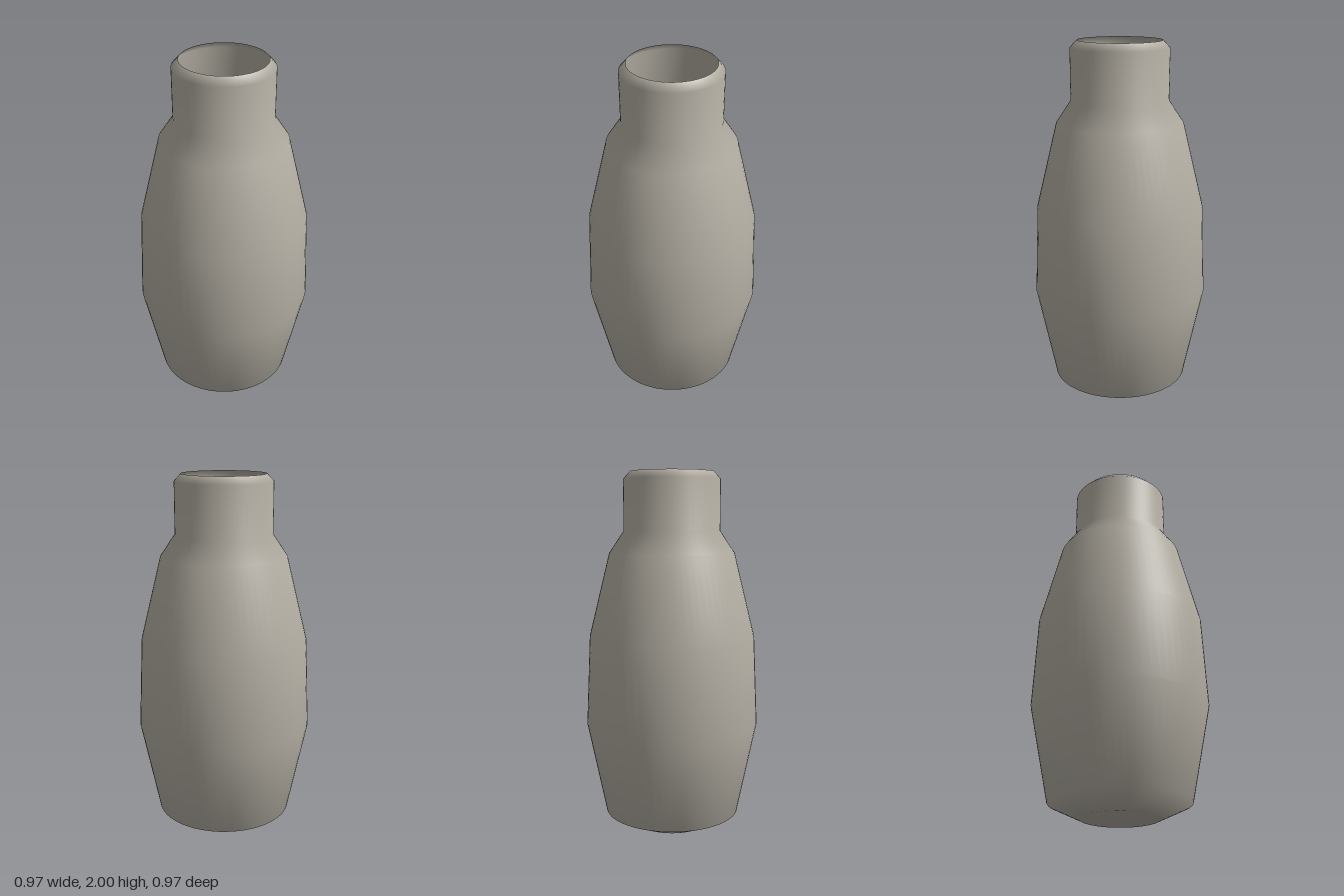
import * as THREE from 'three';

export function createModel() {
  const group = new THREE.Group();
  group.name = 'bottle';

  const clay = new THREE.MeshStandardMaterial({ color: 0xb4afa4, side: THREE.DoubleSide });
  clay.name = 'warm grey';

  // Open thin-walled vessel: closed base, swelling body, shoulder, neck and bevelled lip
  const profile = [
    [0, 0], [0.21, 0], [0.38, 0.08], [0.485, 0.6], [0.462, 1.1],
    [0.348, 1.56], [0.267, 1.68], [0.267, 1.96], [0.229, 2],
  ].map(([r, y]) => new THREE.Vector2(r, y));

  const body = new THREE.Mesh(new THREE.LatheGeometry(profile, 64), clay);
  body.name = 'bottleBody';
  group.add(body);
  return group;
}
